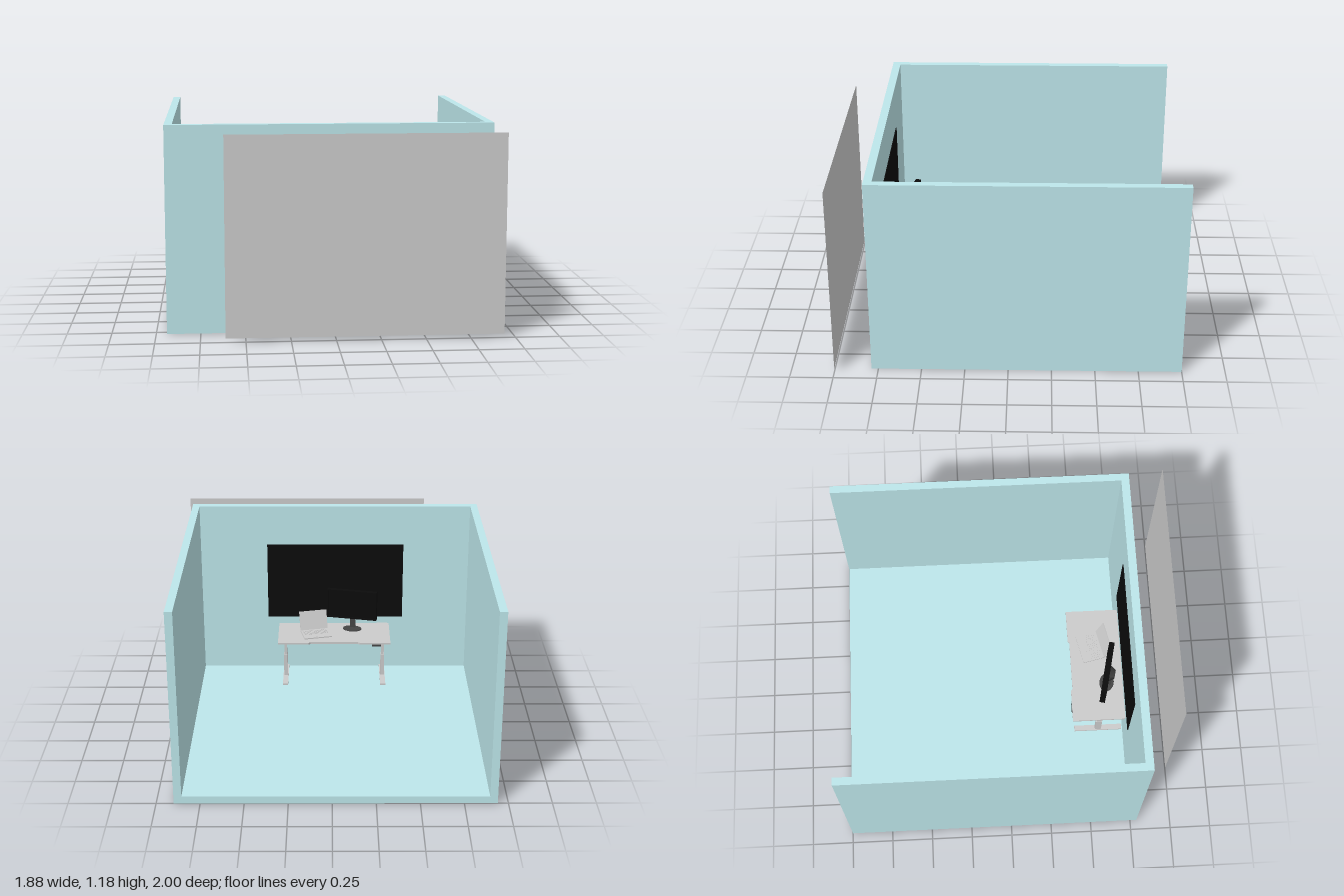
import * as THREE from 'three';

const grey = new THREE.MeshStandardMaterial({ color: 0xcccccc });
const greyThin = new THREE.MeshStandardMaterial({ color: 0xcccccc, side: THREE.DoubleSide });
const teal = new THREE.MeshStandardMaterial({ color: 0xbde6ea });
const black = new THREE.MeshStandardMaterial({ color: 0x0b0b0b });
const dark = new THREE.MeshStandardMaterial({ color: 0x444444 });

function add(parent, name, geometry, material, x = 0, y = 0, z = 0) {
  const mesh = new THREE.Mesh(geometry, material);
  mesh.name = name;
  mesh.position.set(x, y, z);
  parent.add(mesh);
  return mesh;
}
const box = (parent, name, material, w, h, d, x, y, z) =>
  add(parent, name, new THREE.BoxGeometry(w, h, d), material, x, y, z);

function group(parent, name, x = 0, y = 0, z = 0, turn = 0) {
  const g = new THREE.Group();
  g.name = name;
  g.position.set(x, y, z);
  g.rotation.y = turn;
  parent.add(g);
  return g;
}

// Plan outline (x, z) extruded upwards from y = 0
function slab(shape, height) {
  const g = new THREE.ExtrudeGeometry(shape, { depth: height, bevelEnabled: false, curveSegments: 6 });
  // shape y holds -z
  return g.rotateX(-Math.PI / 2);
}

// Three walls and a floor, open at the back
function buildRoom(root) {
  const room = group(root, 'room');
  const plan = [[-0.94, -1], [-0.94, 0.79], [0.9, 0.79], [0.9, -1],
    [0.855, -1], [0.855, 0.742], [-0.895, 0.742], [-0.895, -1]];
  const walls = new THREE.Shape(plan.map(([x, z]) => new THREE.Vector2(x, -z)));
  add(room, 'walls', slab(walls, 1.18), teal);
  box(room, 'floor', teal, 1.75, 0.045, 1.742, -0.02, 0.0225, -0.129);
}

// Desk with a shallow cut-out on the user's side and two T-shaped legs
function buildDesk(root) {
  const desk = group(root, 'desk', -0.015, 0.045, 0);
  const h = 0.365, back = -0.41, front = -0.737, r = 0.012;
  const s = new THREE.Shape();
  s.moveTo(-h + r, front);
  s.lineTo(h - r, front);
  s.quadraticCurveTo(h, front, h, front + r);
  s.lineTo(h, back);
  s.lineTo(0.165, back);
  s.lineTo(0.155, back - 0.01);
  s.lineTo(-0.155, back - 0.01);
  s.lineTo(-0.165, back);
  s.lineTo(-h, back);
  s.lineTo(-h, front + r);
  s.quadraticCurveTo(-h, front, -h + r, front);
  add(desk, 'deskTop', slab(s, 0.013), grey, 0, 0.305, 0);

  for (const side of [-1, 1]) {
    const leg = group(desk, side > 0 ? 'leftLeg' : 'rightLeg', side * 0.32, 0, 0.585);
    box(leg, 'foot', grey, 0.034, 0.012, 0.3, 0, 0.008, 0);
    box(leg, 'lowerPost', grey, 0.024, 0.15, 0.038, 0, 0.089, 0);
    box(leg, 'upperPost', grey, 0.018, 0.13, 0.03, 0, 0.229, 0);
    box(leg, 'topBracket', grey, 0.03, 0.012, 0.26, 0, 0.299, 0);
  }
  box(desk, 'crossBeam', grey, 0.62, 0.016, 0.03, 0, 0.289, 0.585);
  box(desk, 'heightControl', dark, 0.06, 0.01, 0.016, -0.275, 0.3, 0.415);
}

// Monitor, screen towards the back of the room
function buildMonitor(root) {
  const m = group(root, 'monitor', -0.133, 0.363, 0.627, -0.22);
  box(m, 'monitorCase', black, 0.33, 0.195, 0.022, 0, 0.18, 0.006);
  // Bezel frame around the screen
  for (const s of [-1, 1]) {
    box(m, 'sideBezel', black, 0.008, 0.195, 0.012, s * 0.161, 0.18, -0.01);
    box(m, 'edgeBezel', black, 0.314, 0.008, 0.012, 0, 0.18 + s * 0.0935, -0.01);
  }
  const base = add(m, 'standBase', new THREE.CylinderGeometry(0.06, 0.062, 0.006, 32), dark, 0, 0.003, 0.01);
  base.scale.z = 0.72;
  box(m, 'standNeck', dark, 0.036, 0.15, 0.014, 0, 0.08, 0.03);
  const mount = add(m, 'mount', new THREE.CylinderGeometry(0.03, 0.058, 0.036, 4, 1, false, Math.PI / 4),
    dark, 0, 0.17, 0.033);
  mount.rotation.x = Math.PI / 2;
}

// Open laptop facing the back of the room
function buildLaptop(root) {
  const l = group(root, 'laptop', 0.102, 0.364, 0.547, 0.225);
  box(l, 'laptopBase', grey, 0.183, 0.007, 0.135, 0, 0.0035, 0);
  for (let row = 0; row < 5; row++)
    for (let col = 0; col < 12; col++)
      box(l, 'key', grey, 0.009, 0.002, 0.009, (col - 5.5) * 0.0133, 0.008, 0.048 - row * 0.0135);
  box(l, 'touchpad', grey, 0.05, 0.001, 0.032, 0, 0.0073, -0.042);
  const lid = group(l, 'lid', 0, 0.006, 0.068);
  lid.rotation.x = 0.33;
  box(lid, 'laptopScreen', grey, 0.183, 0.125, 0.005, 0, 0.0625, 0);
}

export function createModel() {
  const root = new THREE.Group();
  root.name = 'workRoom';
  buildRoom(root);
  buildDesk(root);
  buildMonitor(root);
  buildLaptop(root);
  box(root, 'wallScreen', black, 0.89, 0.51, 0.008, -0.023, 0.665, 0.741);
  // Free-standing thin panel in front of the room
  add(root, 'frontPanel', new THREE.PlaneGeometry(1.55, 1.125), greyThin, 0.163, 0.585, 1);
  return root;
}
